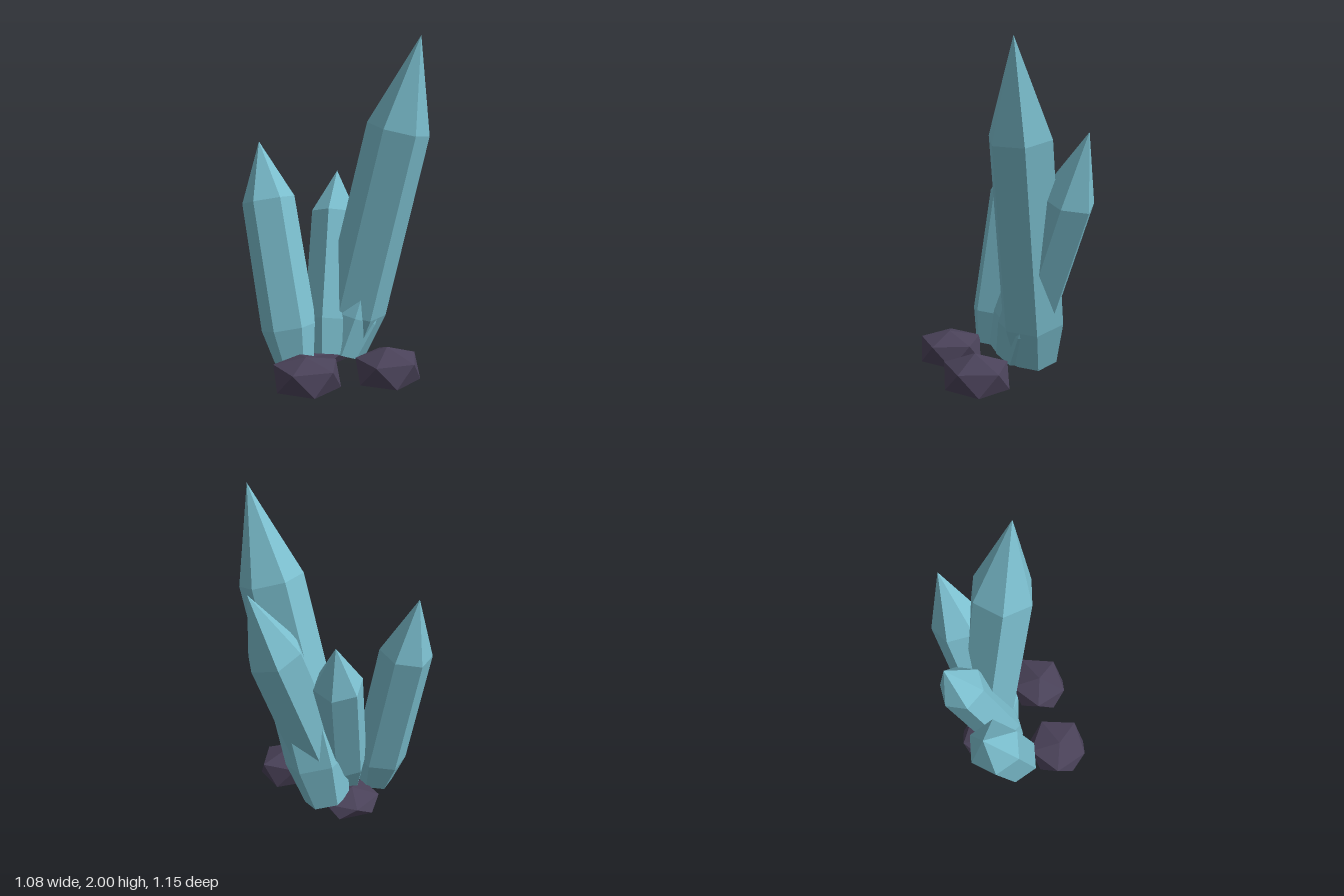
import * as THREE from 'three';
import { ConvexGeometry } from 'three/addons/geometries/ConvexGeometry.js';

const UP = new THREE.Vector3(0, 1, 0);

// Six-sided crystal from base to tip; ring heights are given in world y, turn in degrees
function crystal(name, material, { base, tip, low, high, radius, turn }) {
  const from = new THREE.Vector3(...base);
  const axis = new THREE.Vector3(...tip).sub(from);
  const length = axis.length();
  const along = y => length * (y - base[1]) / (tip[1] - base[1]);
  const profile = [
    [0, 0],
    [radius * 0.74, 0],
    [radius * 1.04, along(low)],
    [radius, along(high)],
    [0, length],
  ].map(([r, h]) => new THREE.Vector2(r, h));
  const geometry = new THREE.LatheGeometry(profile, 6);
  geometry.rotateY(THREE.MathUtils.degToRad(30 - turn));
  const mesh = new THREE.Mesh(geometry, material);
  mesh.name = name;
  mesh.position.copy(from);
  mesh.quaternion.setFromUnitVectors(UP, axis.normalize());
  return mesh;
}

// Squat twenty-sided stone: peak, two staggered rings of five, shallow underside
function rock(name, material, { x, z, rx, rz, shoulder, peak }) {
  const points = [new THREE.Vector3(0, peak, 0.01), new THREE.Vector3(0, 0, 0)];
  for (let i = 0; i < 10; i++) {
    const a = i * Math.PI / 5;
    const y = i % 2 ? 0.015 : shoulder;
    points.push(new THREE.Vector3(Math.cos(a) * rx, y, Math.sin(a) * rz));
  }
  const mesh = new THREE.Mesh(new ConvexGeometry(points), material);
  mesh.name = name;
  mesh.position.set(x, 0, z);
  return mesh;
}

export function createModel() {
  const model = new THREE.Group();
  model.name = 'crystalCluster';

  const crystalBlue = new THREE.MeshStandardMaterial({ color: 0x7cc0d0, flatShading: true });
  crystalBlue.name = 'crystal blue';
  const stonePurple = new THREE.MeshStandardMaterial({ color: 0x4a4259, flatShading: true });
  stonePurple.name = 'stone purple';

  // Crystals fanning out from the middle
  model.add(
    crystal('tallCrystal', crystalBlue, {
      base: [-0.07, 0.07, -0.14], tip: [0.39, 2, -0.265], low: 0.34, high: 1.46, radius: 0.19, turn: 22,
    }),
    crystal('backCrystal', crystalBlue, {
      base: [-0.03, 0.08, -0.02], tip: [0.115, 1.495, -0.575], low: 0.3, high: 1.11, radius: 0.168, turn: 42,
    }),
    crystal('frontCrystal', crystalBlue, {
      base: [-0.165, 0.07, 0.23], tip: [-0.465, 1.38, 0.205], low: 0.27, high: 1.03, radius: 0.16, turn: 19,
    }),
    crystal('shortCrystal', crystalBlue, {
      base: [-0.05, 0.09, 0.06], tip: [-0.24, 1.18, -0.27], low: 0.29, high: 0.92, radius: 0.148, turn: 6,
    }),
  );

  // Stones around the foot
  model.add(
    rock('frontRock', stonePurple, { x: 0.08, z: 0.39, rx: 0.193, rz: 0.195, shoulder: 0.14, peak: 0.19 }),
    rock('leftRock', stonePurple, { x: 0.365, z: 0, rx: 0.185, rz: 0.2, shoulder: 0.14, peak: 0.21 }),
    rock('rightRock', stonePurple, { x: -0.175, z: -0.03, rx: 0.165, rz: 0.19, shoulder: 0.08, peak: 0.13 }),
  );

  return model;
}
